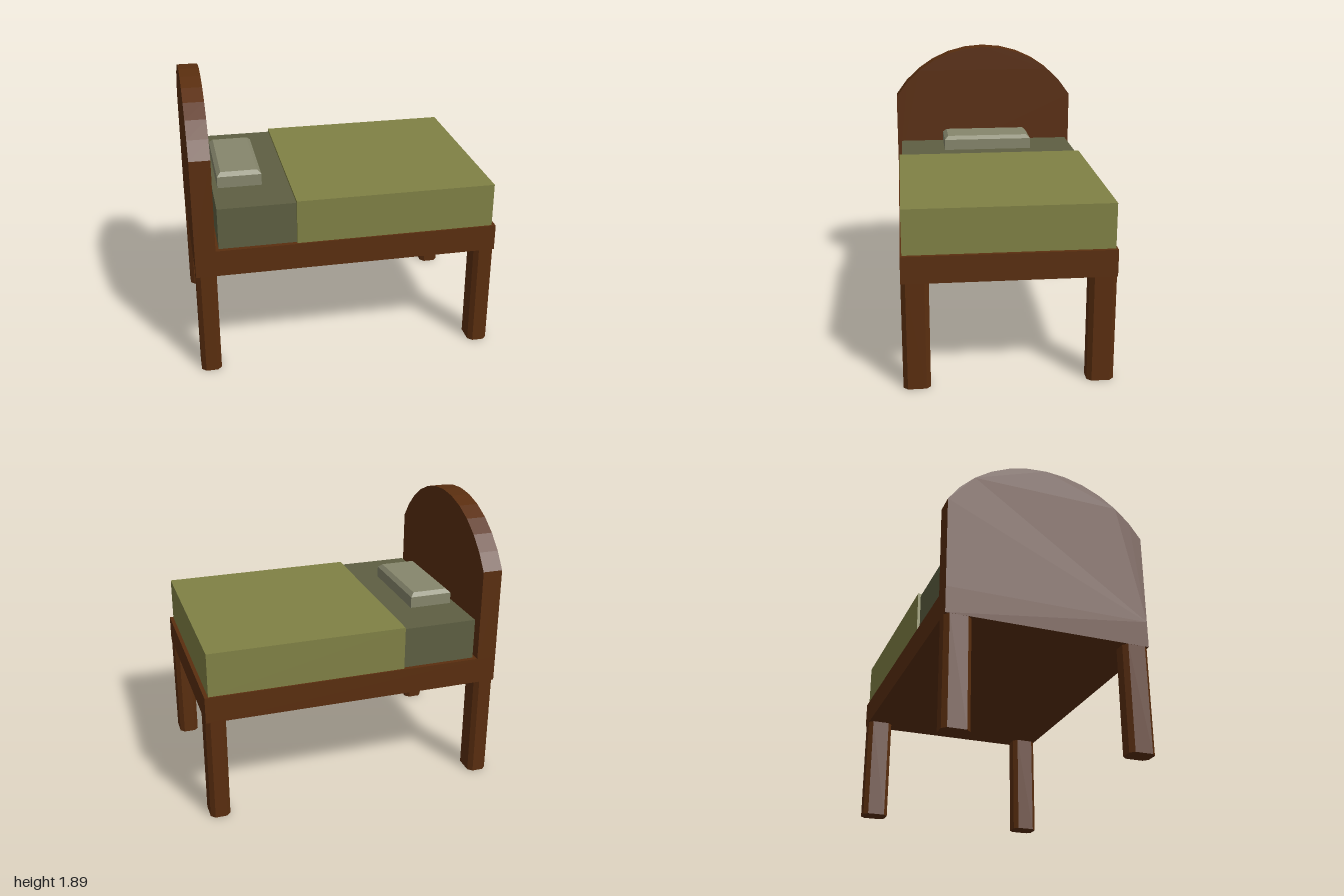
import * as THREE from 'three';

const material = (name, color) => {
  const m = new THREE.MeshStandardMaterial({ color });
  m.name = name;
  return m;
};

// Box given by its limits on each axis
function box([x0, x1], [y0, y1], [z0, z1]) {
  return new THREE.BoxGeometry(x1 - x0, y1 - y0, z1 - z0)
    .translate((x0 + x1) / 2, (y0 + y1) / 2, (z0 + z1) / 2);
}

// Upright post with chamfered corners, standing on y = 0
function chamferedPost(width, depth, height, c) {
  const w = width / 2, d = depth / 2;
  const outline = new THREE.Shape([
    [w, -d + c], [w, d - c], [w - c, d], [-w + c, d],
    [-w, d - c], [-w, -d + c], [-w + c, -d], [w - c, -d],
  ].map(([x, y]) => new THREE.Vector2(x, y)));
  return new THREE.ExtrudeGeometry(outline, { depth: height, bevelEnabled: false })
    .rotateX(-Math.PI / 2);
}

// Board with a faceted arched top, thickness along x
function archedBoard(halfWidth, bottom, shoulder, top, thickness) {
  const rise = top - shoulder;
  const radius = (halfWidth ** 2 + rise ** 2) / (2 * rise);
  const halfAngle = Math.asin(halfWidth / radius);
  const points = [new THREE.Vector2(-halfWidth, bottom), new THREE.Vector2(halfWidth, bottom)];
  const steps = 12;
  for (let i = 0; i <= steps; i++) {
    const a = halfAngle * (1 - (2 * i) / steps);
    points.push(new THREE.Vector2(radius * Math.sin(a), top - radius + radius * Math.cos(a)));
  }
  const geometry = new THREE.ExtrudeGeometry(new THREE.Shape(points), { depth: thickness, bevelEnabled: false });
  return geometry.rotateY(Math.PI / 2);
}

// Block whose top edges slope inward
function bevelledBlock(width, height, depth, bevelHeight, inset) {
  const geometry = new THREE.BoxGeometry(width, height, depth, 1, 2, 1).translate(0, height / 2, 0);
  const p = geometry.attributes.position;
  for (let i = 0; i < p.count; i++) {
    const y = p.getY(i);
    if (y > height * 0.75) {
      p.setX(i, p.getX(i) - Math.sign(p.getX(i)) * inset);
      p.setZ(i, p.getZ(i) - Math.sign(p.getZ(i)) * inset);
    } else if (y > height * 0.25) {
      p.setY(i, height - bevelHeight);
    }
  }
  const flat = geometry.toNonIndexed();
  flat.computeVertexNormals();
  return flat;
}

export function createModel() {
  const wood = material('dark wood', 0x5a2e0f);
  const sheet = material('grey green sheet', 0x5e5f42);
  const blanketCloth = material('olive blanket', 0x808145);
  const pillowCloth = material('pale pillow', 0x86866c);

  const bed = new THREE.Group();
  bed.name = 'bed';
  const add = (name, geometry, mat, x = 0, y = 0, z = 0) => {
    const mesh = new THREE.Mesh(geometry, mat);
    mesh.name = name;
    mesh.position.set(x, y, z);
    bed.add(mesh);
  };

  // Legs
  const leg = chamferedPost(0.133, 0.174, 0.716, 0.028);
  for (const [end, x] of [['head', -0.933], ['foot', 0.933]]) {
    for (const [side, z] of [['Front', 0.588], ['Back', -0.588]]) {
      add(`${end}${side}Leg`, leg, wood, x, 0, z);
    }
  }

  // Frame and headboard
  add('frame', box([-1, 1], [0.715, 0.892], [-0.675, 0.675]), wood);
  add('headboard', archedBoard(0.675, 0.892, 1.515, 1.893, 0.133), wood, -1);

  // Bedding
  add('mattress', box([-0.845, -0.34], [0.892, 1.17], [-0.645, 0.645]), sheet);
  add('blanket', box([-0.34, 0.975], [0.892, 1.187], [-0.663, 0.663]), blanketCloth);
  add('pillow', bevelledBlock(0.293, 0.102, 0.645, 0.025, 0.026), pillowCloth, -0.664, 1.17, 0);

  return bed;
}
